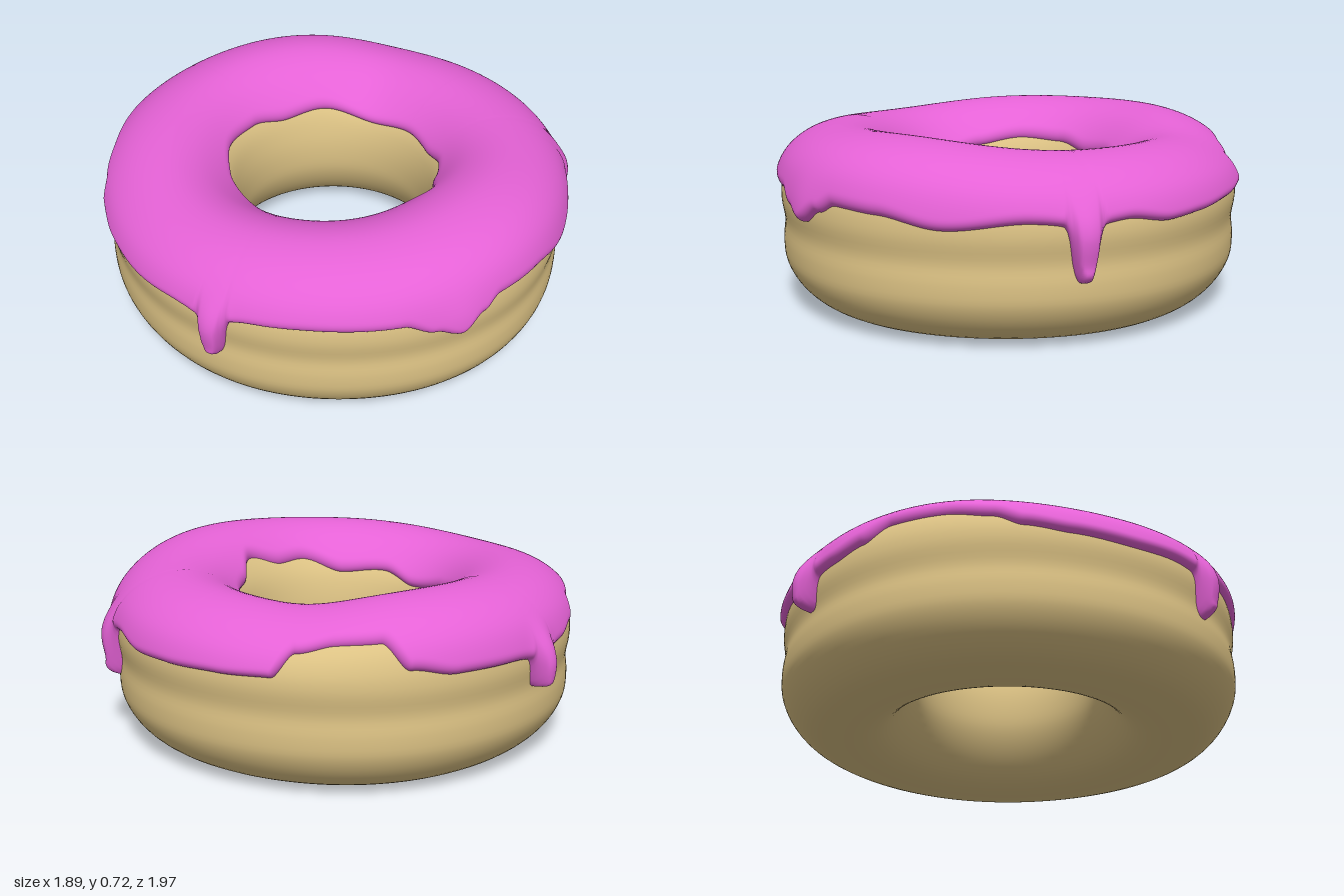
import * as THREE from 'three';

const RAD = Math.PI / 180;

// Dough cross-section (radius, height): up the outside, over the top, down the hole
const section = new THREE.CatmullRomCurve3([
  [0.66, 0], [0.78, 0.022], [0.86, 0.085], [0.908, 0.17], [0.915, 0.25], [0.908, 0.33],
  [0.92, 0.42], [0.912, 0.49], [0.88, 0.56], [0.82, 0.615], [0.74, 0.65], [0.65, 0.66],
  [0.56, 0.635], [0.48, 0.58], [0.42, 0.51], [0.388, 0.42], [0.376, 0.32], [0.385, 0.22],
  [0.43, 0.12], [0.5, 0.04], [0.58, 0.004],
].map(([r, y]) => new THREE.Vector3(r, y, 0)), true);
const COUNT = 21, TOP = 11, STEP = 0.08;
const at = u => section.getPoint((((u / COUNT) % 1) + 1) % 1);

// Position on the section where the height is y, between u = lo and u = hi
function findU(y, lo, hi) {
  const rising = at(hi).y > at(lo).y;
  for (let i = 0; i < 18; i++) {
    const mid = (lo + hi) / 2;
    if ((at(mid).y < y) === rising) lo = mid; else hi = mid;
  }
  return (lo + hi) / 2;
}

// Icing edge heights by angle in degrees (0 = +x, 90 = +z)
const outerKeys = [
  [0, 0.455], [10, 0.45], [22, 0.48], [44, 0.48], [63, 0.45], [78, 0.48], [90, 0.485],
  [95, 0.455], [101, 0.405], [107, 0.44], [114, 0.48], [135, 0.485], [148, 0.48],
  [166, 0.465], [180, 0.455], [195, 0.465], [206, 0.485], [213, 0.53], [225, 0.555],
  [238, 0.55], [245, 0.49], [254, 0.465], [275, 0.46], [290, 0.465], [301, 0.495],
  [307, 0.585], [318, 0.59], [327, 0.57], [332, 0.475], [345, 0.465],
];
const innerKeys = [
  [0, 0.51], [20, 0.5], [40, 0.53], [60, 0.53], [80, 0.585], [98, 0.55], [112, 0.56],
  [135, 0.51], [160, 0.53], [182, 0.49], [210, 0.52], [235, 0.54], [258, 0.53],
  [280, 0.5], [305, 0.52], [335, 0.49],
];
// Drips: angle, tip height, half width in degrees, extra thickness
const drips = [[32, 0.26, 3.2, 0.03], [157, 0.285, 3, 0.03], [264, 0.33, 2.8, 0.045]];

function lookup(keys, deg) {
  const n = keys.length;
  let i = n - 1;
  while (keys[i][0] > deg) i--;
  const a = keys[i], b = i + 1 < n ? keys[i + 1] : [360, keys[0][1]];
  const t = (deg - a[0]) / (b[0] - a[0]);
  return a[1] + (b[1] - a[1]) * t * t * (3 - 2 * t);
}

function outerEdge(deg) {
  deg = (deg + 360) % 360;
  let y = lookup(outerKeys, deg);
  for (const [angle, tip, w] of drips) {
    const x = (deg - angle) / w;
    y -= 0.02 * Math.exp(-((x / 2) ** 2));
    y += (tip - y) * Math.exp(-(x ** 4));
  }
  return y;
}

// Uneven hand-made shape shared by the dough and the icing
function place(r, y, deg) {
  const a = deg * RAD, s = Math.sin(a);
  const high = THREE.MathUtils.smoothstep(y, 0.4, 0.66);
  const wide = THREE.MathUtils.smoothstep(r, 0.5, 0.9);
  r += wide * (0.026 * Math.max(0, s) ** 2 + 0.004 * Math.sin(5 * a));
  y += high * (-0.022 * Math.cos(2 * a) + 0.006 * s + 0.004 * Math.sin(5 * a + 1)
    - 0.012 * Math.exp(-(((deg - 328) / 16) ** 2)));
  return [r * Math.cos(a), y, r * s];
}

// Smooth skin from columns around the ring and rows along the section
function ringSkin(cols, rows, closed, column) {
  const pos = [], idx = [];
  for (let i = 0; i < cols; i++) {
    const deg = (i / cols) * 360, point = column(deg);
    for (let j = 0; j < rows; j++) pos.push(...place(...point(j), deg));
  }
  for (let i = 0; i < cols; i++) {
    for (let j = 0; j < (closed ? rows : rows - 1); j++) {
      const k = (j + 1) % rows, n = ((i + 1) % cols) * rows, m = i * rows;
      idx.push(m + j, m + k, n + j, m + k, n + k, n + j);
    }
  }
  const g = new THREE.BufferGeometry();
  g.setAttribute('position', new THREE.Float32BufferAttribute(pos, 3));
  g.setIndex(idx);
  g.computeVertexNormals();
  return g;
}

function doughGeometry() {
  const rows = 84;
  return ringSkin(180, rows, true, () => j => {
    const p = at((j / rows) * COUNT);
    return [p.x, p.y];
  });
}

// Icing follows the dough, raised by a thickness that rounds off at both edges
function icingGeometry() {
  const rows = 60;
  return ringSkin(720, rows, false, deg => {
    const start = findU(outerEdge(deg), 3, TOP);
    const end = findU(lookup(innerKeys, deg), TOP, 16);
    const slope = (outerEdge(deg + 0.25) - outerEdge(deg - 0.25)) / (0.5 * RAD * 0.93);
    const steep = Math.hypot(1, slope);
    let swell = 0.014 * Math.exp(-(((deg - 100) / 6) ** 2));
    for (const [angle, , w, extra] of drips) swell += extra * Math.exp(-(((deg - angle) / (w * 1.2)) ** 2));
    return j => {
      const u = start + (end - start) * (0.5 - 0.5 * Math.cos((Math.PI * j) / (rows - 1)));
      const p = at(u), q = at(u + 0.01);
      const tx = q.x - p.x, ty = q.y - p.y, len = Math.hypot(tx, ty);
      const d = Math.min(((u - start) * STEP) / steep, (end - u) * STEP);
      const lip = Math.min(1, d / 0.04);
      const round = Math.sqrt(1 - (1 - lip) ** 2);
      const fade = 1 - THREE.MathUtils.smoothstep(p.y, 0.42, 0.58);
      const off = -0.01 + round * (0.042 + (u < TOP ? swell * fade : 0));
      return [p.x + (ty / len) * off, p.y - (tx / len) * off];
    };
  });
}

export function createModel() {
  const group = new THREE.Group();
  group.name = 'icedDoughnut';
  const add = (name, geometry, color) => {
    const mesh = new THREE.Mesh(geometry, new THREE.MeshStandardMaterial({ color }));
    mesh.name = name;
    group.add(mesh);
  };
  add('dough', doughGeometry(), 0xdcc284);
  add('icing', icingGeometry(), 0xe562d6);
  return group;
}
